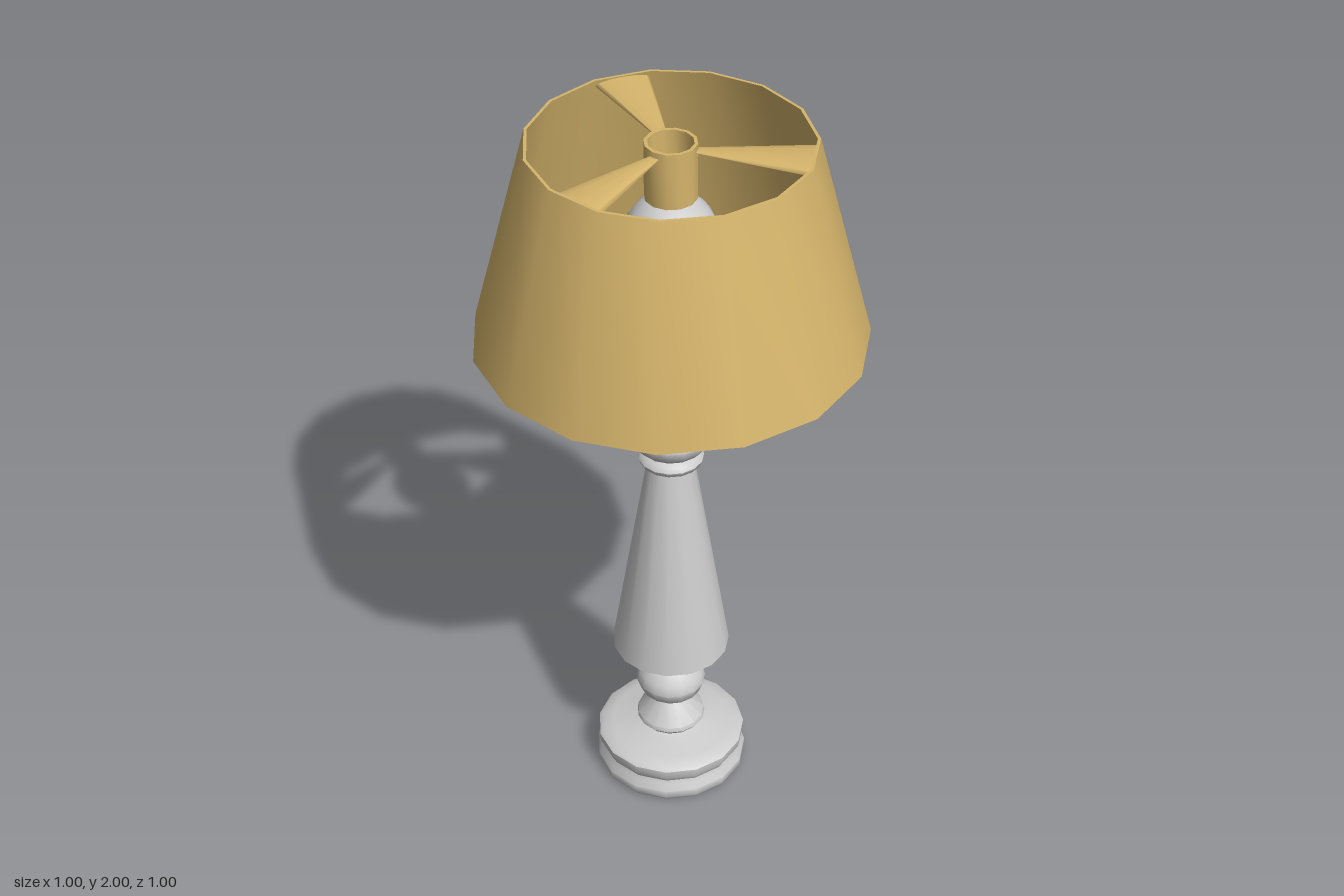
import * as THREE from 'three';
import { toCreasedNormals } from 'three/addons/utils/BufferGeometryUtils.js';

const SIDES = 15;
const grey = new THREE.MeshStandardMaterial({ color: 0xcccccc });
const fabric = new THREE.MeshStandardMaterial({ color: 0xd6b56c });

// Turned part from [radius, height] pairs, listed so the surface faces outward
function turned(name, profile, material, sides = SIDES, crease = 0.7) {
  const points = profile.map(([r, y]) => new THREE.Vector2(r, y));
  const geometry = toCreasedNormals(new THREE.LatheGeometry(points, sides), crease);
  const mesh = new THREE.Mesh(geometry, material);
  mesh.name = name;
  return mesh;
}

export function createModel() {
  const lamp = new THREE.Group();
  lamp.name = 'tableLamp';

  // Round moulded foot
  lamp.add(turned('base', [
    [0, 0], [0.2, 0], [0.21, 0.015], [0.21, 0.035], [0.198, 0.052], [0.194, 0.065],
    [0.205, 0.085], [0.206, 0.108], [0.195, 0.116], [0.165, 0.125], [0.105, 0.135],
    [0.085, 0.142], [0.095, 0.155], [0.093, 0.168], [0.045, 0.212], [0.035, 0.225],
  ], grey));

  // Ball and collar beneath the column
  lamp.add(turned('lowerBall', [
    [0.035, 0.22], [0.06, 0.234], [0.085, 0.258], [0.096, 0.29], [0.088, 0.318],
    [0.065, 0.342], [0.052, 0.35], [0.07, 0.358], [0.07, 0.37], [0.055, 0.378], [0.055, 0.39],
  ], grey));

  // Tapered column
  lamp.add(turned('column', [
    [0.055, 0.382], [0.085, 0.39], [0.16, 0.43], [0.063, 1.045],
  ], grey));

  // Turned capital
  lamp.add(turned('capital', [
    [0.06, 1.04], [0.082, 1.055], [0.087, 1.068], [0.08, 1.08], [0.066, 1.088],
    [0.085, 1.102], [0.105, 1.125], [0.112, 1.148], [0.104, 1.175], [0.08, 1.2],
    [0.072, 1.215], [0.08, 1.228], [0.112, 1.238], [0.118, 1.25], [0.108, 1.268],
    [0.108, 1.285], [0.13, 1.3], [0.134, 1.315], [0.125, 1.328], [0.108, 1.336],
    [0.11, 1.352], [0, 1.352],
  ], grey));

  // Bulb holder
  lamp.add(turned('socket', [
    [0.02, 1.345], [0.02, 1.37], [0.07, 1.37], [0.045, 1.455], [0.035, 1.485],
    [0.045, 1.5], [0.045, 1.58], [0, 1.58],
  ], grey));

  // Bulb: narrow neck flowing into a globe
  const bulb = [[0.04, 1.57], [0.05, 1.6], [0.075, 1.645]];
  for (let i = 0; i <= 8; i++) {
    const a = -0.65 + (i / 8) * (0.65 + Math.PI / 2);
    bulb.push([Math.max(0, 0.12 * Math.cos(a)), 1.735 + 0.12 * Math.sin(a)]);
  }
  lamp.add(turned('bulb', bulb, grey, SIDES, 1));

  // Thin-walled tapered shade
  lamp.add(turned('shade', [
    [0.503, 1.45], [0.357, 2], [0.349, 2], [0.495, 1.45], [0.503, 1.45],
  ], fabric));

  // Central tube carrying the shade
  lamp.add(turned('shadeHub', [
    [0.066, 1.85], [0.066, 2], [0.057, 2], [0.057, 1.85], [0.066, 1.85],
  ], fabric, 12));

  // Three flattened spokes, widening toward the rim
  for (let i = 0; i < 3; i++) {
    const spoke = new THREE.CylinderGeometry(0.072, 0.014, 0.287, 12);
    spoke.rotateX(Math.PI / 2);
    spoke.scale(1, 0.22, 1);
    spoke.translate(0, 1.982, 0.204);
    const mesh = new THREE.Mesh(spoke, fabric);
    mesh.name = 'shadeSpoke' + (i + 1);
    mesh.rotation.y = Math.PI / 3 + (i * 2 * Math.PI) / 3;
    lamp.add(mesh);
  }

  // Centre the odd-sided outline in depth
  for (const part of lamp.children) part.position.z = -0.006;
  return lamp;
}
